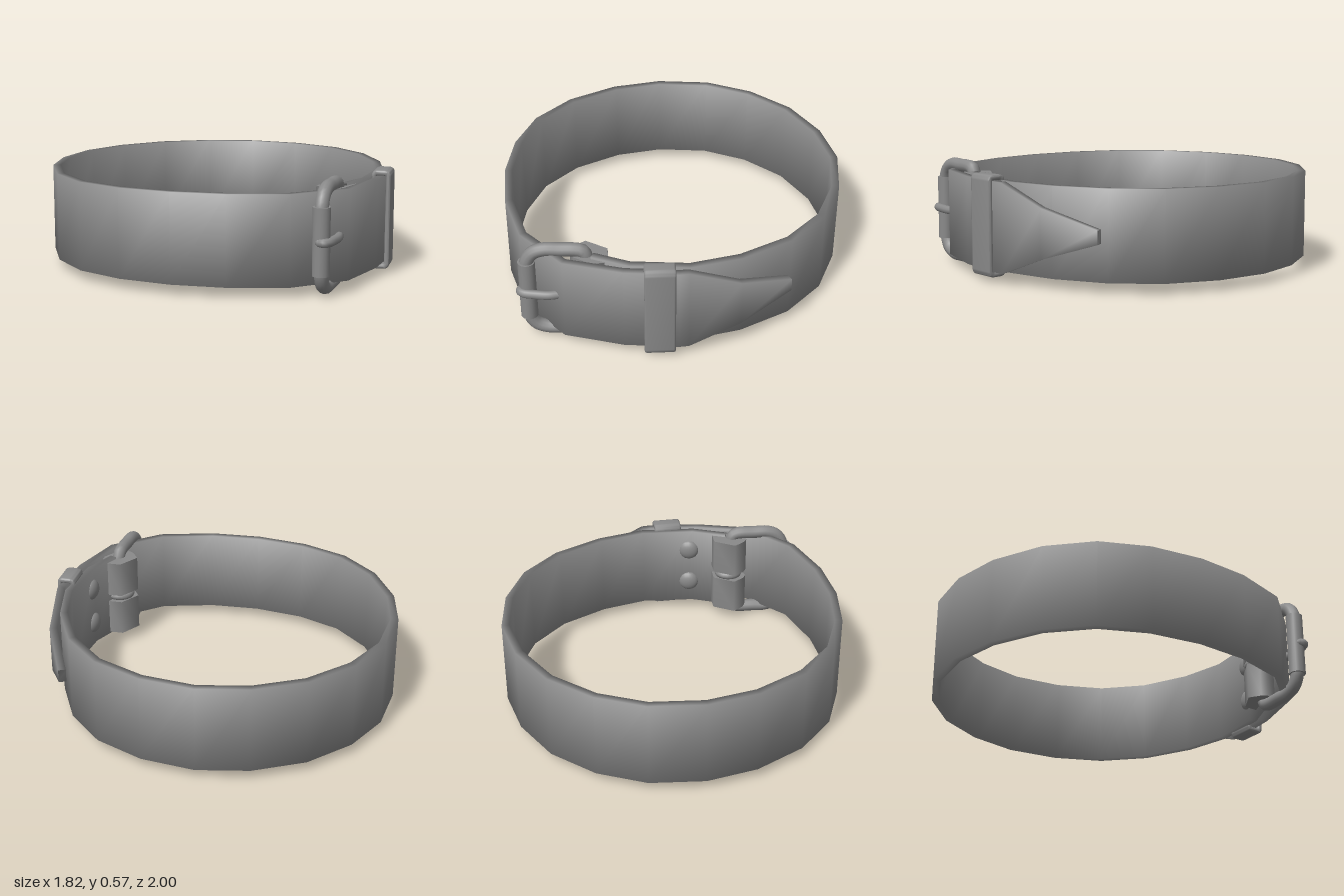
import * as THREE from 'three';
import { toCreasedNormals } from 'three/addons/utils/BufferGeometryUtils.js';

const MID = 0.29; // height of the strap's centre line
const HALF = 0.23; // half the strap's width
const material = new THREE.MeshStandardMaterial({ color: 0x8a8a8a });

function add(parent, name, geometry, x = 0, y = 0, z = 0) {
  const mesh = new THREE.Mesh(geometry, material);
  mesh.name = name;
  mesh.position.set(x, y, z);
  parent.add(mesh);
  return mesh;
}

// Soft-edged band swept along the outer-face points [x, z, half width]
function ribbon(points, thickness) {
  const pos = [], normals = [], index = [];
  const n = points.length;
  const tilt = 0.5; // how far the edge normals lean up and down
  points.forEach(([x, z, h = HALF], i) => {
    const a = points[Math.max(i - 1, 0)], b = points[Math.min(i + 1, n - 1)];
    const t = new THREE.Vector2(b[0] - a[0], b[1] - a[1]).normalize();
    for (const [face, edge] of [[1, -1], [1, 1], [-1, 1], [-1, -1]]) {
      const inset = face > 0 ? 0 : thickness;
      pos.push(x + t.y * inset, MID + edge * h, z - t.x * inset);
      normals.push(...new THREE.Vector3(-t.y * face, edge * tilt, t.x * face).normalize());
    }
    if (i === n - 1) return;
    for (let k = 0; k < 4; k++) {
      const p = i * 4 + k, q = i * 4 + (k + 1) % 4;
      index.push(p, p + 4, q + 4, p, q + 4, q);
    }
  });
  const e = (n - 1) * 4;
  index.push(0, 1, 2, 0, 2, 3, e, e + 2, e + 1, e, e + 3, e + 2);
  const g = new THREE.BufferGeometry();
  g.setAttribute('position', new THREE.Float32BufferAttribute(pos, 3));
  g.setAttribute('normal', new THREE.Float32BufferAttribute(normals, 3));
  g.setIndex(index);
  return g;
}

function roundedRect(path, w, h, r) {
  const x = w / 2, y = h / 2;
  path.moveTo(-x + r, -y);
  path.lineTo(x - r, -y).quadraticCurveTo(x, -y, x, -y + r);
  path.lineTo(x, y - r).quadraticCurveTo(x, y, x - r, y);
  path.lineTo(-x + r, y).quadraticCurveTo(-x, y, -x, y - r);
  path.lineTo(-x, -y + r).quadraticCurveTo(-x, -y, -x + r, -y);
  return path;
}

export function createModel() {
  const model = new THREE.Group();
  model.name = 'buckledStrap';

  // One strap: from the buckle fold, around the ring, over itself to the tip
  add(model, 'strap', ribbon([
    [0.04, 0.815], [0.24, 0.785], [0.51, 0.65], [0.70, 0.46], [0.85, 0.21],
    [0.91, -0.06], [0.87, -0.34], [0.75, -0.60], [0.56, -0.80], [0.31, -0.945],
    [0.03, -1.0], [-0.24, -0.97], [-0.50, -0.845], [-0.70, -0.66], [-0.85, -0.41],
    [-0.91, -0.14], [-0.87, 0.13], [-0.76, 0.39], [-0.60, 0.62], [-0.37, 0.83],
    [-0.06, 0.925], [0.24, 0.845], [0.49, 0.725], [0.53, 0.695], [0.73, 0.52, 0.127],
    [0.885, 0.265, 0.035],
  ], 0.04));

  // Strap end folded round the buckle bar, split in two for the prong
  const fold = new THREE.Shape([
    [-0.09, 0.80], [-0.09, 0.765], [-0.06, 0.70], [0.07, 0.70], [0.11, 0.765],
    [0.115, 0.81], [0.06, 0.845], [-0.04, 0.845],
  ].map(([x, z]) => new THREE.Vector2(x, -z)));
  const foldGeometry = toCreasedNormals(
    new THREE.ExtrudeGeometry(fold, { depth: 0.2, bevelEnabled: false }).rotateX(-Math.PI / 2), 1.2);
  for (const y of [MID - 0.22, MID + 0.02]) add(model, 'barFold', foldGeometry, 0, y, 0);

  // Buckle, tilted outward from its bar
  const buckle = new THREE.Group();
  buckle.name = 'buckle';
  buckle.position.set(0, MID, 0.79);
  buckle.rotation.y = Math.PI + Math.atan2(0.145, 0.27);
  model.add(buckle);
  const side = [[0, 0.1], [0, 0.205], [0.015, 0.237], [0.05, 0.247], [0.13, 0.247], [0.21, 0.247],
    [0.265, 0.225], [0.298, 0.17], [0.3, 0.1]];
  const loop = [...side, ...side.map(([u, h]) => [u, -h]).reverse()]
    .map(([u, h]) => new THREE.Vector3(u, h, 0));
  const frameCurve = new THREE.CatmullRomCurve3(loop, true, 'centripetal');
  add(buckle, 'buckleFrame', new THREE.TubeGeometry(frameCurve, 72, 0.035, 12, true));
  const roller = new THREE.CylinderGeometry(0.044, 0.044, 0.34, 16);
  add(buckle, 'buckleRoller', toCreasedNormals(roller, 0.7), 0.3, 0, 0);

  // Prong with the ring that hinges it on the bar
  const prongCurve = new THREE.CatmullRomCurve3([
    [-0.1, 0.895], [-0.14, 0.928], [-0.2, 0.955], [-0.26, 0.975], [-0.285, 0.97], [-0.29, 0.945],
  ].map(([x, z]) => new THREE.Vector3(x, MID, z)));
  add(model, 'prong', new THREE.TubeGeometry(prongCurve, 30, 0.023, 10));
  add(model, 'prongEnd', new THREE.SphereGeometry(0.023, 10, 8), -0.29, MID, 0.945);
  add(model, 'prongRing',
    new THREE.TorusGeometry(0.06, 0.022, 8, 20).rotateX(Math.PI / 2), 0.01, MID, 0.775);

  // Keeper sleeve round both layers, its axis following the strap
  const sleeve = roundedRect(new THREE.Shape(), 0.1, 0.52, 0.03);
  sleeve.holes.push(roundedRect(new THREE.Path(), 0.05, 0.466, 0.01));
  const sleeveGeometry = new THREE.ExtrudeGeometry(sleeve, {
    depth: 0.136, bevelThickness: 0.01, bevelSize: 0.008, bevelOffset: -0.008, bevelSegments: 2, curveSegments: 5,
  }).translate(0, 0, -0.068);
  const keeper = add(model, 'keeper', toCreasedNormals(sleeveGeometry, 0.9), 0.393, MID, 0.749);
  keeper.rotation.y = Math.PI / 2 + 0.56;

  // Domed rivets on the inside
  for (const dy of [-0.1, 0.11]) {
    const dome = new THREE.SphereGeometry(0.06, 16, 6, 0, Math.PI * 2, 0, Math.PI / 2)
      .scale(1, 0.6, 1).rotateX(-Math.PI / 2);
    const rivet = add(model, 'rivet', dome, 0.25, MID + dy, 0.745);
    rivet.rotation.y = 0.3;
  }
  return model;
}
